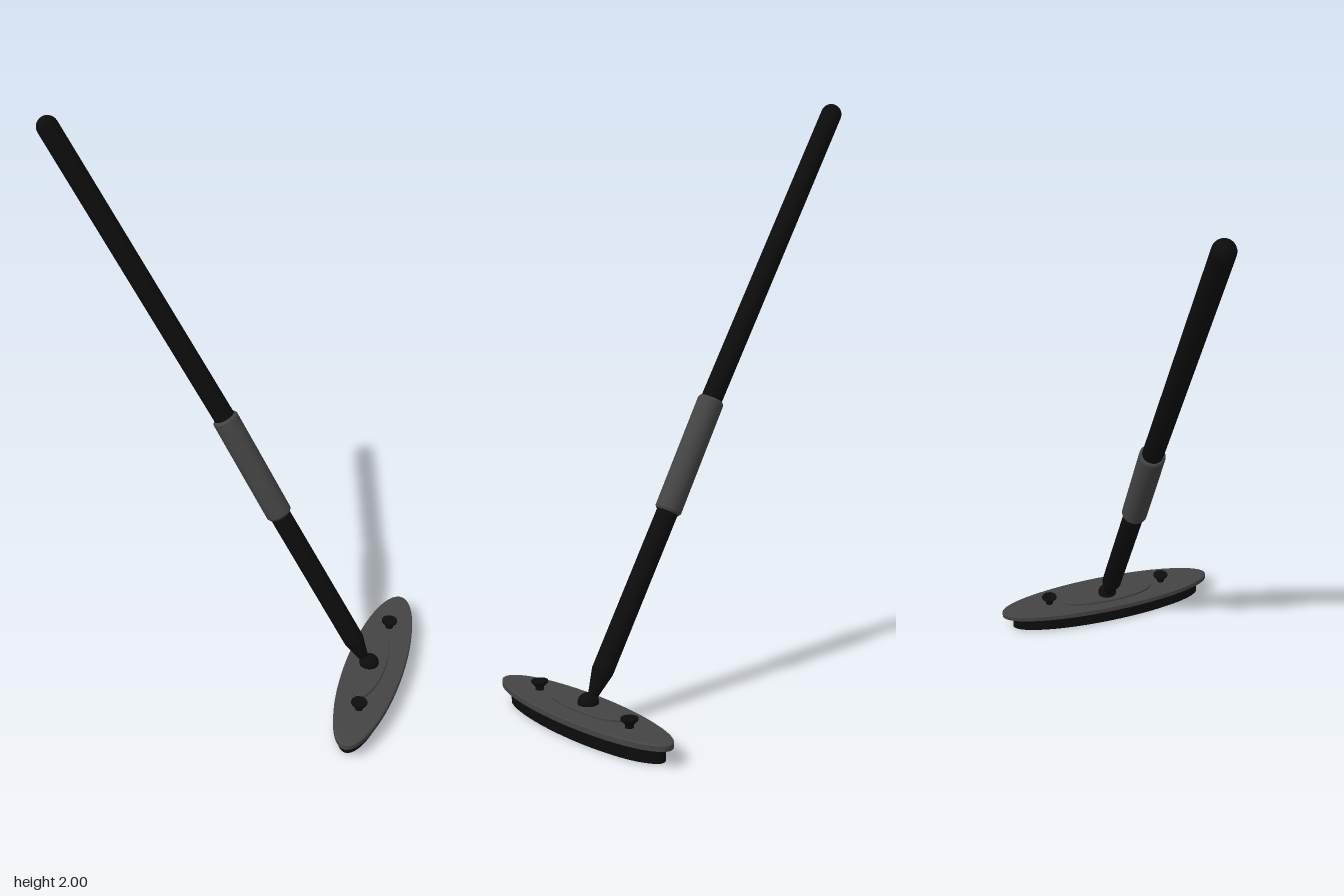
import * as THREE from 'three';

const black = new THREE.MeshStandardMaterial({ color: 0x0c0c0c });
const grey = new THREE.MeshStandardMaterial({ color: 0x444444 });
const V = (x, y) => new THREE.Vector3(x, y, 0);

export function createModel() {
  const model = new THREE.Group();

  // Revolved part; each profile segment is shaded separately so edges stay sharp
  function lathe(name, points, material, segments = 32) {
    const group = new THREE.Group();
    group.name = name;
    for (let i = 0; i < points.length - 1; i++) {
      const pair = [points[i], points[i + 1]].map(([r, y]) => new THREE.Vector2(r, y));
      const mesh = new THREE.Mesh(new THREE.LatheGeometry(pair, segments), material);
      mesh.name = name + 'Section';
      group.add(mesh);
    }
    model.add(group);
    return group;
  }

  // Revolved part standing on point a, with its axis turned towards point b
  function along(name, a, b, points, material) {
    const part = lathe(name, points, material);
    part.position.copy(a);
    part.quaternion.setFromUnitVectors(V(0, 1), b.clone().sub(a).normalize());
    return part;
  }

  function ball(name, x, y, rx, ry) {
    const mesh = new THREE.Mesh(new THREE.SphereGeometry(1, 32, 16), black);
    mesh.name = name;
    mesh.position.set(x, y, 0);
    mesh.scale.set(rx, ry, rx);
    model.add(mesh);
  }

  // Oval slab with slightly bevelled edges, between heights y0 and y1
  function oval(name, x, rx, rz, y0, y1, bevel, material) {
    const k = 1 - bevel / rx;
    const h = y1 - y0;
    const part = lathe(name, [[0, 0], [k, 0], [1, bevel], [1, h - bevel], [k, h], [0, h]], material, 64);
    part.position.set(x, y0, 0);
    part.scale.set(rx, 1, rz);
  }

  const top = V(-0.605, 1.965), gripTop = V(-0.028, 1.015);
  const gripEnd = V(0.172, 0.66), bottom = V(0.455, 0.178), joint = V(0.505, 0.09);
  const R = 0.036;

  // Upper and lower tubes of the pole
  const upper = gripTop.distanceTo(top);
  along('upperPole', gripTop, top, [[0, -0.02], [R, -0.02], [R, upper]], black);
  ball('poleEndCap', top.x, top.y, R, R);
  const lower = gripEnd.distanceTo(bottom);
  along('lowerPole', bottom, gripEnd, [[0, 0], [R, 0], [R, lower + 0.02], [0, lower + 0.02]], black);

  // Padded grip sleeve
  const g = gripTop.distanceTo(gripEnd);
  along('gripSleeve', gripEnd, gripTop,
    [[0, 0], [0.04, 0], [0.045, 0.008], [0.045, g - 0.008], [0.04, g], [0, g]], grey);

  // Tapered end running into the swivel joint
  const t = joint.distanceTo(bottom);
  along('poleTaper', joint, bottom, [[0.015, 0], [0.018, 0.025], [R, t], [0, t]], black);
  ball('swivelJoint', 0.515, 0.089, 0.035, 0.031);

  // Oval head: dark pad, overhanging plate and raised centre panel
  oval('headPad', 0.53, 0.088, 0.38, 0, 0.056, 0.004, black);
  oval('headPlate', 0.535, 0.104, 0.419, 0.053, 0.076, 0.003, grey);
  oval('centrePanel', 0.521, 0.055, 0.181, 0.07, 0.085, 0.002, grey);

  // Flared knobs on either side of the joint
  for (const side of [-1, 1]) {
    const knob = lathe('plateKnob', [[0.014, 0], [0.014, 0.012], [0.028, 0.027], [0.028, 0.033], [0, 0.033]], black);
    knob.position.set(0.536, 0.074, side * 0.23);
  }
  return model;
}
